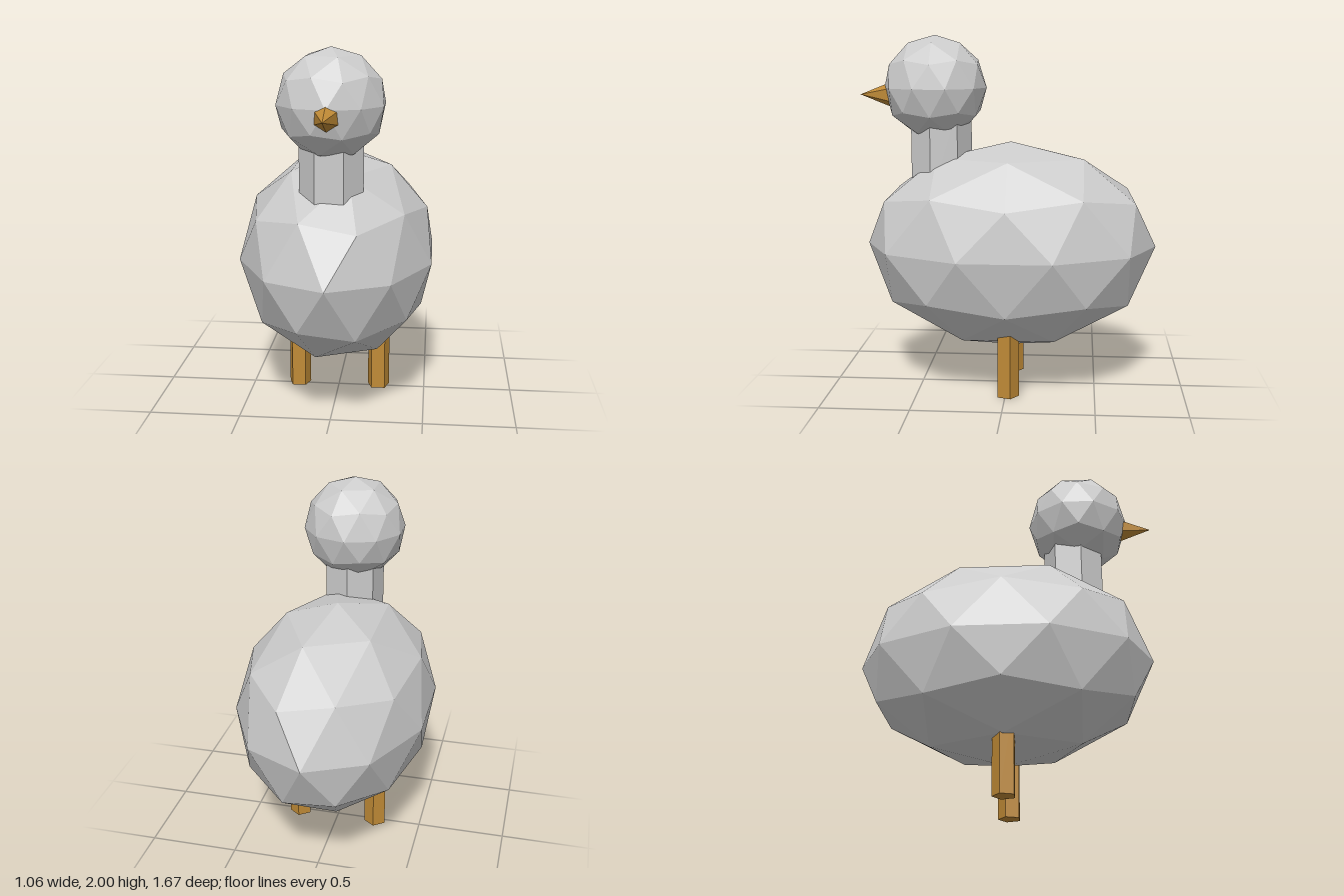
import * as THREE from 'three';

// Pole-up icosahedron split once (80 flat faces), one upper-ring corner at +x
function icoBall(rx, ry, rz) {
  const ringY = 1 / Math.sqrt(5), ringR = 2 / Math.sqrt(5);
  const points = [0, 1, 0], faces = [];
  for (const [start, y] of [[0, ringY], [Math.PI / 5, -ringY]]) {
    for (let i = 0; i < 5; i++) {
      const a = start + (i * Math.PI * 2) / 5;
      points.push(ringR * Math.cos(a), y, -ringR * Math.sin(a));
    }
  }
  points.push(0, -1, 0);
  for (let i = 0; i < 5; i++) {
    const j = (i + 1) % 5;
    const u = 1 + i, uNext = 1 + j, l = 6 + i, lNext = 6 + j;
    faces.push(0, u, uNext, u, l, uNext, l, lNext, uNext, 11, lNext, l);
  }
  return new THREE.PolyhedronGeometry(points, faces, 1, 1).scale(rx, ry, rz);
}

// Upright prism between two heights, with one corner towards the back
function prism(radius, bottom, top, sides) {
  return new THREE.CylinderGeometry(radius, radius, top - bottom, sides, 1, false, Math.PI)
    .translate(0, (top + bottom) / 2, 0);
}

export function createModel() {
  const group = new THREE.Group();
  const grey = new THREE.MeshStandardMaterial({ color: 0xcccccc, flatShading: true });
  const orange = new THREE.MeshStandardMaterial({ color: 0xbf8a36, flatShading: true });

  const add = (name, geometry, material, x, y, z) => {
    const mesh = new THREE.Mesh(geometry, material);
    mesh.name = name;
    mesh.position.set(x, y, z);
    group.add(mesh);
  };

  // Egg-shaped body, round head and the seven-sided neck joining them
  add('body', icoBall(0.557, 0.59, 0.82), grey, 0, 0.82, -0.015);
  add('head', icoBall(0.29, 0.29, 0.288), grey, 0, 1.71, 0.408);
  add('neck', prism(0.174, 1.1, 1.6, 7), grey, 0, 0, 0.38);

  // Six-sided beak pointing forwards
  const beak = new THREE.ConeGeometry(0.08, 0.2, 6).rotateX(Math.PI / 2);
  add('beak', beak, orange, 0, 1.67, 0.734);

  // Pair of five-sided legs
  for (const [name, side] of [['leftLeg', 1], ['rightLeg', -1]]) {
    add(name, prism(0.065, 0, 0.5, 5), orange, side * 0.232, 0, -0.012);
  }
  return group;
}
